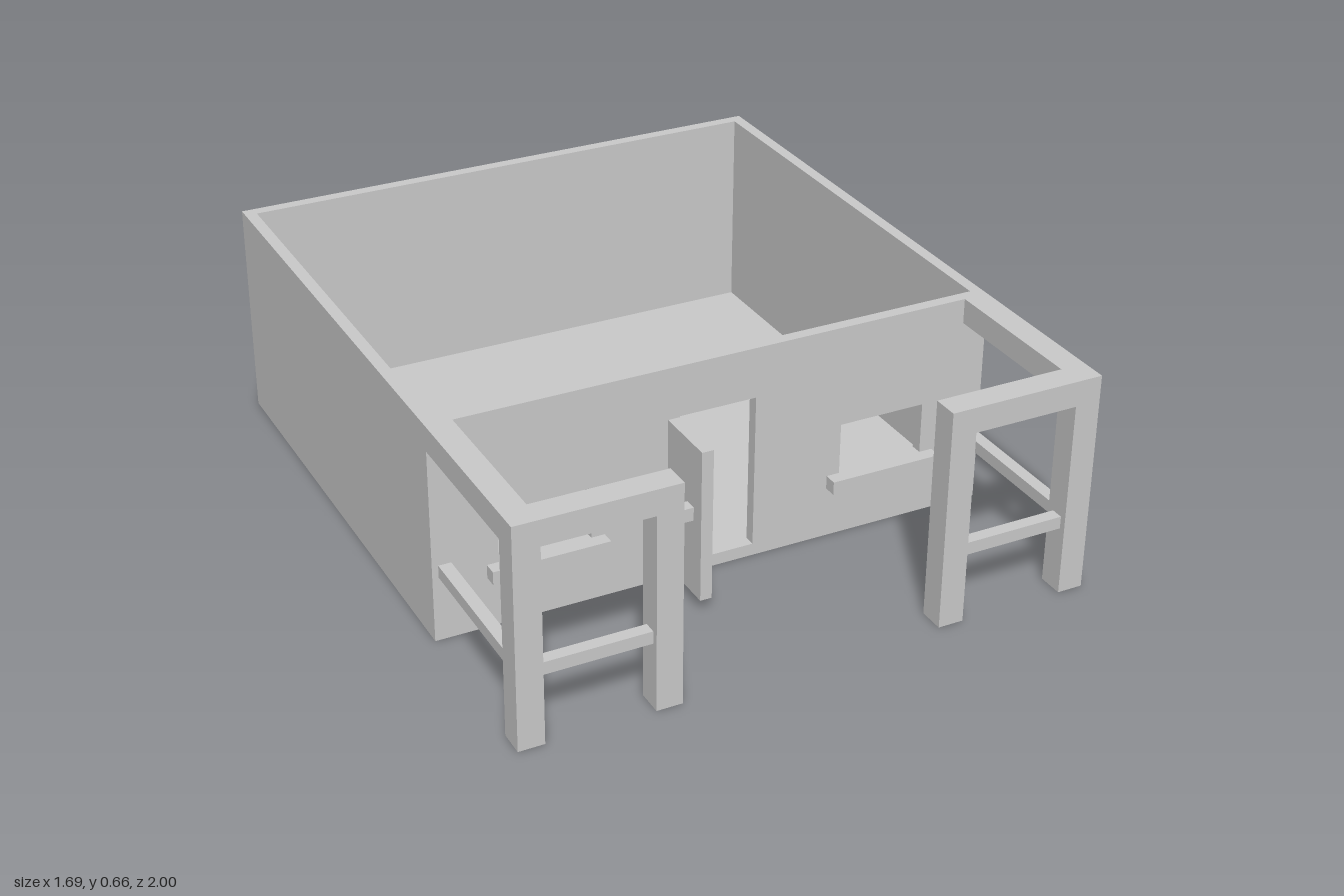
import * as THREE from 'three';

const W = 0.845, H = 0.655, T = 0.035; // half width, height, wall thickness
const FRONT = 0.46, FLOOR = 0.037;

export function createModel() {
  const model = new THREE.Group();
  model.name = 'house';
  const material = new THREE.MeshStandardMaterial({ color: 0xcccccc, flatShading: true });

  // Box given by its min and max corners
  function box(name, [x0, y0, z0], [x1, y1, z1]) {
    const geometry = new THREE.BoxGeometry(Math.abs(x1 - x0), y1 - y0, z1 - z0);
    const mesh = new THREE.Mesh(geometry, material);
    mesh.position.set((x0 + x1) / 2, (y0 + y1) / 2, (z0 + z1) / 2);
    mesh.name = name;
    model.add(mesh);
  }

  function rect(Type, x0, y0, x1, y1) {
    const path = new Type();
    path.moveTo(x0, y0);
    path.lineTo(x1, y0);
    path.lineTo(x1, y1);
    path.lineTo(x0, y1);
    path.closePath();
    return path;
  }

  // Floor, back wall and side walls
  box('floor', [-W, 0, -1], [W, FLOOR, FRONT]);
  box('backWall', [-W, FLOOR, -1], [W, H, -1 + T]);
  box('rightWall', [-W, FLOOR, -1 + T], [-W + T, H, FRONT]);
  box('leftWall', [W - T, FLOOR, -1 + T], [W, H, FRONT]);

  // Front wall: outline notched by the doorway, with two window holes
  const wall = new THREE.Shape([
    [-W + T, FLOOR], [-0.12, FLOOR], [-0.12, 0.503], [0.112, 0.503],
    [0.112, FLOOR], [W - T, FLOOR], [W - T, H], [-W + T, H],
  ].map(([x, y]) => new THREE.Vector2(x, y)));
  wall.holes.push(
    rect(THREE.Path, -0.655, 0.195, -0.385, 0.35),
    rect(THREE.Path, 0.385, 0.195, 0.65, 0.35),
  );
  const frontWall = new THREE.Mesh(
    new THREE.ExtrudeGeometry(wall, { depth: T, bevelEnabled: false }), material);
  frontWall.position.z = FRONT - T;
  frontWall.name = 'frontWall';
  model.add(frontWall);

  // Open door and its handle
  box('door', [-0.155, 0.04, FRONT], [-0.12, 0.5, 0.655]);
  box('doorHandle', [-0.195, 0.27, 0.575], [-0.155, 0.31, 0.612]);

  // Window sills and porch frames, mirrored left and right
  for (const [side, s] of [['left', 1], ['right', -1]]) {
    box(side + 'Sill', [s * 0.345, 0.155, FRONT], [s * 0.69, 0.195, 0.5]);

    box(side + 'CornerPost', [s * 0.77, 0, 0.923], [s * W, 0.58, 1]);
    box(side + 'InnerPost', [s * 0.385, 0, 0.923], [s * 0.46, 0.58, 1]);
    box(side + 'FrontBeam', [s * 0.385, 0.58, 0.923], [s * W, H, 1]);
    box(side + 'SideBeam', [s * 0.77, 0.58, FRONT], [s * W, H, 0.923]);

    // Thin handrails centred between the posts
    box(side + 'FrontRail', [s * 0.46, 0.195, 0.944], [s * 0.77, 0.232, 0.981]);
    box(side + 'SideRail', [s * 0.79, 0.195, FRONT], [s * 0.827, 0.232, 0.923]);
  }

  return model;
}
